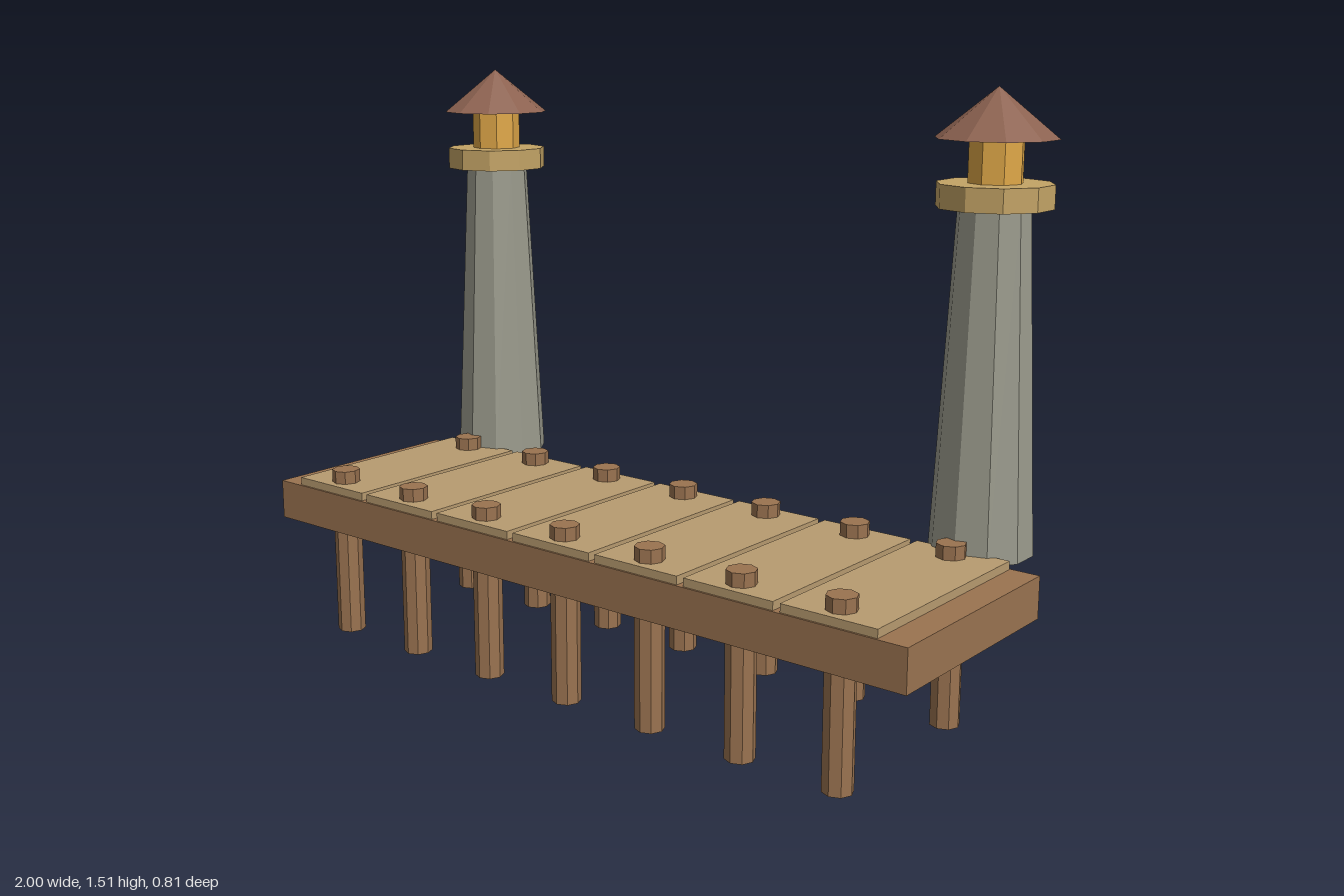
import * as THREE from 'three';

const mat = (color) => new THREE.MeshStandardMaterial({ color, flatShading: true });

export function createModel() {
  const model = new THREE.Group();
  model.name = 'pierWithBeacons';
  const wood = mat(0x9a7350), plankWood = mat(0xb89b70), stone = mat(0x9a9a8c);
  const trim = mat(0xc4a466), lampGlass = mat(0xe0a848), roofTile = mat(0x8c6250);

  const add = (parent, name, geometry, material, x, y, z) => {
    const mesh = new THREE.Mesh(geometry, material);
    mesh.name = name;
    mesh.position.set(x, y, z);
    parent.add(mesh);
  };

  // Deck slab
  add(model, 'deck', new THREE.BoxGeometry(2, 0.105, 0.585), wood, 0, 0.3475, 0.113);

  // Planks, each held by a front and a back pile
  const plank = new THREE.BoxGeometry(0.248, 0.022, 0.575);
  const pile = new THREE.CylinderGeometry(0.037, 0.037, 0.455, 8);
  for (let i = -3; i <= 3; i++) {
    const x = i * 0.2667;
    add(model, 'plank', plank, plankWood, x, 0.41, 0.113);
    for (const z of [0.346, -0.119]) add(model, 'pile', pile, wood, x, 0.2275, z);
  }

  // Beacon towers behind the deck, one at each end
  for (const side of [-1, 1]) {
    const tower = new THREE.Group();
    tower.name = side > 0 ? 'leftTower' : 'rightTower';
    tower.position.set(side * 0.8, 0, -0.26);
    add(tower, 'shaft', new THREE.CylinderGeometry(0.086, 0.127, 0.83, 10), stone, 0, 0.815, 0);
    add(tower, 'gallery', new THREE.CylinderGeometry(0.138, 0.138, 0.057, 10), trim, 0, 1.2575, 0);
    add(tower, 'lantern', new THREE.CylinderGeometry(0.066, 0.066, 0.104, 8), lampGlass, 0, 1.337, 0);
    add(tower, 'roof', new THREE.ConeGeometry(0.145, 0.118, 10), roofTile, 0, 1.447, 0);
    model.add(tower);
  }
  return model;
}
